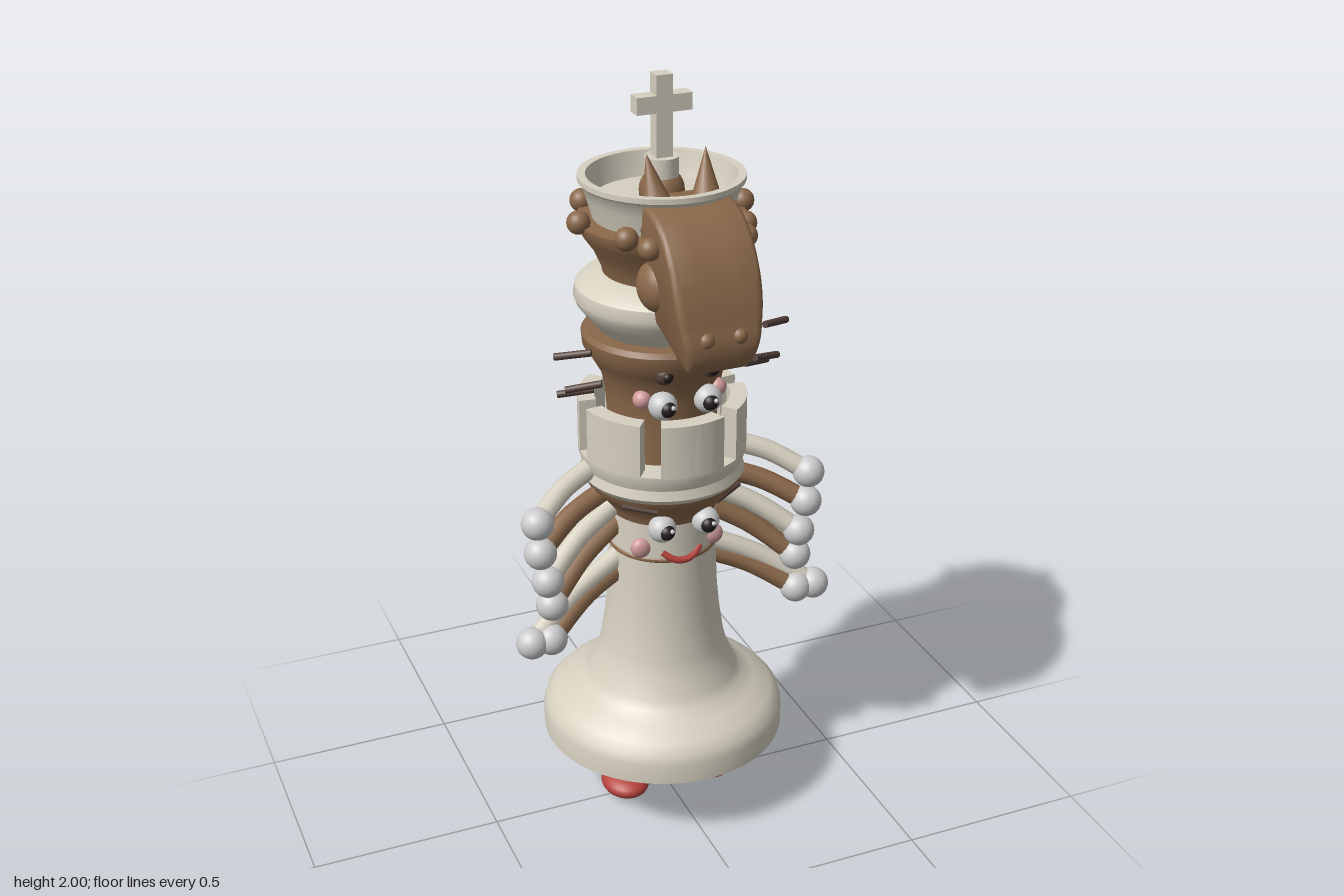
import * as THREE from 'three';
import { toCreasedNormals } from 'three/addons/utils/BufferGeometryUtils.js';

const Z0 = -0.035; // z of the turned column's axis
const mat = (color) => new THREE.MeshStandardMaterial({ color, side: THREE.DoubleSide });
const V = (x, y, z) => new THREE.Vector3(x, y, z);

export function createModel() {
  const model = new THREE.Group();
  const ivory = mat(0xd6d0c0), brown = mat(0x8a684a), dark = mat(0x54403a), black = mat(0x241c1c);
  const white = mat(0xdedede), red = mat(0xb5423c), pink = mat(0xd09a9a);

  const add = (name, geo, m, x = 0, y = 0, z = 0) => {
    const mesh = new THREE.Mesh(geo, m);
    mesh.name = name;
    mesh.position.set(x, y, z);
    model.add(mesh);
    return mesh;
  };
  const ball = (name, m, x, y, z, rx, ry = rx, rz = rx) => {
    const b = add(name, new THREE.SphereGeometry(1, 24, 16), m, x, y, z);
    b.scale.set(rx, ry, rz);
    return b;
  };
  const lathe = (name, m, pts) => add(name, toCreasedNormals(
    new THREE.LatheGeometry(pts.map((p) => new THREE.Vector2(...p)), 56), 0.6), m, 0, 0, Z0);
  const tube = (name, m, pts, r) => add(name,
    new THREE.TubeGeometry(new THREE.CatmullRomCurve3(pts), 16, r, 10), m);
  const rod = (name, m, a, b, r) => {
    const s = add(name, new THREE.CylinderGeometry(r, r, a.distanceTo(b), 10), m);
    s.position.copy(a).lerp(b, 0.5);
    s.quaternion.setFromUnitVectors(V(0, 1, 0), b.clone().sub(a).normalize());
    return s;
  };

  // Turned column, from the base up
  lathe('base', ivory, [[0.30, 0.2], [0.325, 0.2], [0.325, 0.255], [0.318, 0.28], [0.295, 0.305], [0.25, 0.33],
    [0.215, 0.352], [0.2, 0.375], [0.188, 0.405], [0.176, 0.43], [0.165, 0.47], [0.153, 0.55], [0.146, 0.62],
    [0.14, 0.76], [0.14, 0.87]]);
  lathe('baseUnderside', brown, [[0, 0.203], [0.315, 0.203]]);
  lathe('waistRing', brown, [[0.138, 0.757], [0.143, 0.763], [0.143, 0.769], [0.138, 0.775]]);
  lathe('lowerCup', brown, [[0.138, 0.86], [0.145, 0.885], [0.165, 0.915], [0.195, 0.945], [0.2, 0.97]]);
  lathe('battlementCollar', ivory, [[0.17, 0.955], [0.2, 0.96], [0.212, 0.975], [0.205, 1.0], [0.216, 1.03],
    [0.216, 1.042], [0, 1.042]]);
  lathe('neck', brown, [[0.145, 1.03], [0.14, 1.13], [0.145, 1.2], [0.155, 1.25], [0.18, 1.295], [0.2, 1.325],
    [0.203, 1.355], [0.195, 1.368], [0.14, 1.37]]);
  lathe('middleCollar', ivory, [[0.15, 1.36], [0.16, 1.37], [0.19, 1.405], [0.213, 1.435], [0.22, 1.455],
    [0.215, 1.482], [0.2, 1.495], [0.17, 1.51], [0.13, 1.52]]);
  lathe('coronet', brown, [[0.145, 1.5], [0.15, 1.53], [0.17, 1.575], [0.195, 1.61], [0.21, 1.64],
    [0.21, 1.65], [0.165, 1.655]]);
  lathe('crownCup', ivory, [[0.165, 1.63], [0.172, 1.66], [0.185, 1.705], [0.195, 1.735], [0.204, 1.745],
    [0.204, 1.758], [0.184, 1.758], [0.176, 1.72], [0.168, 1.695], [0, 1.695]]);

  // Battlements
  const gap = 0.24, step = Math.PI / 3;
  for (let i = 0; i < 6; i++) {
    const a = i * step + gap / 2 + Math.PI / 3, b = a + step - gap;
    const s = new THREE.Shape();
    s.absarc(0, 0, 0.216, a, b, false);
    s.absarc(0, 0, 0.172, b, a, true);
    const g = new THREE.ExtrudeGeometry(s, { depth: 0.14, bevelEnabled: false, curveSegments: 10 });
    g.rotateX(-Math.PI / 2);
    add('merlon', toCreasedNormals(g, 0.6), ivory, 0, 1.04, Z0);
  }

  // Coronet beads
  for (let i = 0; i < 8; i++) {
    const a = i * Math.PI / 4;
    ball('coronetBead', brown, 0.215 * Math.sin(a), 1.66, Z0 + 0.215 * Math.cos(a), 0.029);
  }

  // Finial and cross
  ball('finialBall', brown, 0, 1.715, Z0, 0.056);
  add('finialCollar', new THREE.CylinderGeometry(0.042, 0.042, 0.05, 24), ivory, 0, 1.775, Z0);
  add('crossUpright', new THREE.BoxGeometry(0.042, 0.22, 0.04), ivory, 0, 1.89, Z0);
  add('crossBar', new THREE.BoxGeometry(0.142, 0.042, 0.04), ivory, 0, 1.93, Z0);

  // Horse head: side outline extruded across x, narrowing to the muzzle
  const o = new THREE.Shape();
  o.moveTo(0.02, 1.71);
  o.bezierCurveTo(0.1, 1.74, 0.19, 1.73, 0.235, 1.68);
  o.bezierCurveTo(0.28, 1.64, 0.31, 1.57, 0.325, 1.49);
  o.bezierCurveTo(0.345, 1.44, 0.33, 1.385, 0.285, 1.385);
  o.bezierCurveTo(0.24, 1.4, 0.22, 1.44, 0.16, 1.46);
  o.lineTo(0.04, 1.5);
  const head = new THREE.ExtrudeGeometry(o, { depth: 0.17, steps: 4, curveSegments: 14,
    bevelThickness: 0.02, bevelSize: 0.012, bevelSegments: 4 });
  head.translate(0, 0, -0.085).rotateY(-Math.PI / 2);
  const p = head.attributes.position;
  for (let i = 0; i < p.count; i++) {
    const t = THREE.MathUtils.clamp((1.6 - p.getY(i)) / 0.22, 0, 1);
    p.setX(i, p.getX(i) * (1.06 - 0.36 * t * t));
  }
  add('horseHead', toCreasedNormals(head, 0.7), brown);
  ball('horseCrest', brown, 0, 1.68, 0.08, 0.118, 0.055, 0.072);
  for (const s of [-1, 1]) {
    ball('horseCheek', brown, s * 0.08, 1.54, 0.135, 0.05, 0.065, 0.065);
    ball('horseEye', brown, s * 0.122, 1.655, 0.188, 0.028);
    ball('nostril', brown, s * 0.042, 1.47, 0.332, 0.021);
    const ear = add('ear', new THREE.ConeGeometry(0.046, 0.15, 20), brown, s * 0.068, 1.768, 0.075);
    ear.rotation.set(-0.3, 0, -s * 0.1);
  }

  // Mane: scalloped row of locks down the back
  for (let i = 0; i < 7; i++) {
    const t = i / 6;
    ball('maneLock', brown, 0, 1.41 - 0.36 * t, -0.225 - 0.045 * Math.sin(Math.PI * t), 0.038, 0.05, 0.048);
  }
  ball('maneTuft', brown, 0, 1.55, -0.2, 0.035, 0.06, 0.04);
  ball('maneBack', brown, 0, 1.23, -0.2, 0.035, 0.2, 0.07);

  // Two faces, one above the other
  for (const s of [-1, 1]) {
    for (const [y, z] of [[0.87, 0.11], [1.215, 0.115]]) {
      ball('eye', white, s * 0.06, y, z, 0.036);
      ball('pupil', black, s * 0.057, y, z + 0.024, 0.021);
      ball('eyeGlint', white, s * 0.057 + 0.008, y + 0.009, z + 0.042, 0.006);
    }
    ball('blush', pink, s * 0.1, 0.8, 0.066, 0.028, 0.028, 0.02);
    ball('blush', pink, s * 0.1, 1.225, 0.08, 0.024);
    ball('upperEye', dark, s * 0.062, 1.305, 0.128, 0.026);
    ball('upperPupil', black, s * 0.06, 1.303, 0.145, 0.014);
    rod('eyebrow', dark, V(s * 0.08, 0.93, 0.13), V(s * 0.16, 0.945, 0.09), 0.008);

    // Loose bars either side of the upper face
    rod('whisker', dark, V(s * 0.31, 1.355, 0.035), V(s * 0.23, 1.37, 0.078), 0.009);
    rod('whisker', dark, V(s * 0.285, 1.265, 0.04), V(s * 0.205, 1.285, 0.08), 0.009);
    rod('whisker', dark, V(s * 0.285, 1.228, -0.02), V(s * 0.205, 1.245, 0.02), 0.009);
  }
  tube('smile', red, [V(-0.052, 0.79, 0.092), V(-0.028, 0.772, 0.106), V(0, 0.766, 0.11),
    V(0.028, 0.772, 0.106), V(0.052, 0.79, 0.092)], 0.009);

  // Arms: shoulder x, y then hand x, y
  const arms = [[0.19, 1.01, 0.375, 0.925], [0.16, 0.935, 0.37, 0.84], [0.14, 0.885, 0.352, 0.755],
    [0.13, 0.835, 0.343, 0.685], [0.12, 0.74, 0.4, 0.583], [0.12, 0.7, 0.348, 0.583]];
  for (const s of [-1, 1]) {
    arms.forEach(([sx, sy, hx, hy], i) => {
      tube('arm', i % 2 ? brown : ivory, [V(s * sx, sy, -0.03),
        V(s * (sx + hx) / 2, (sy + hy) / 2 + 0.012, 0.005), V(s * hx, hy, 0.06)], 0.027);
      ball('hand', white, s * hx, hy, 0.062, 0.042);
    });

    // Legs and shoes
    add('leg', new THREE.CylinderGeometry(0.037, 0.037, 0.17, 16), ivory, s * 0.125, 0.125, Z0);
    for (const d of [-1, 1]) {
      add('legStripe', new THREE.CylinderGeometry(0.012, 0.012, 0.17, 8), brown, s * 0.125 + d * 0.022, 0.125, Z0 + 0.022);
    }
    ball('shoe', red, s * 0.125, 0.033, -0.003, 0.064, 0.033, 0.078);
  }
  return model;
}
